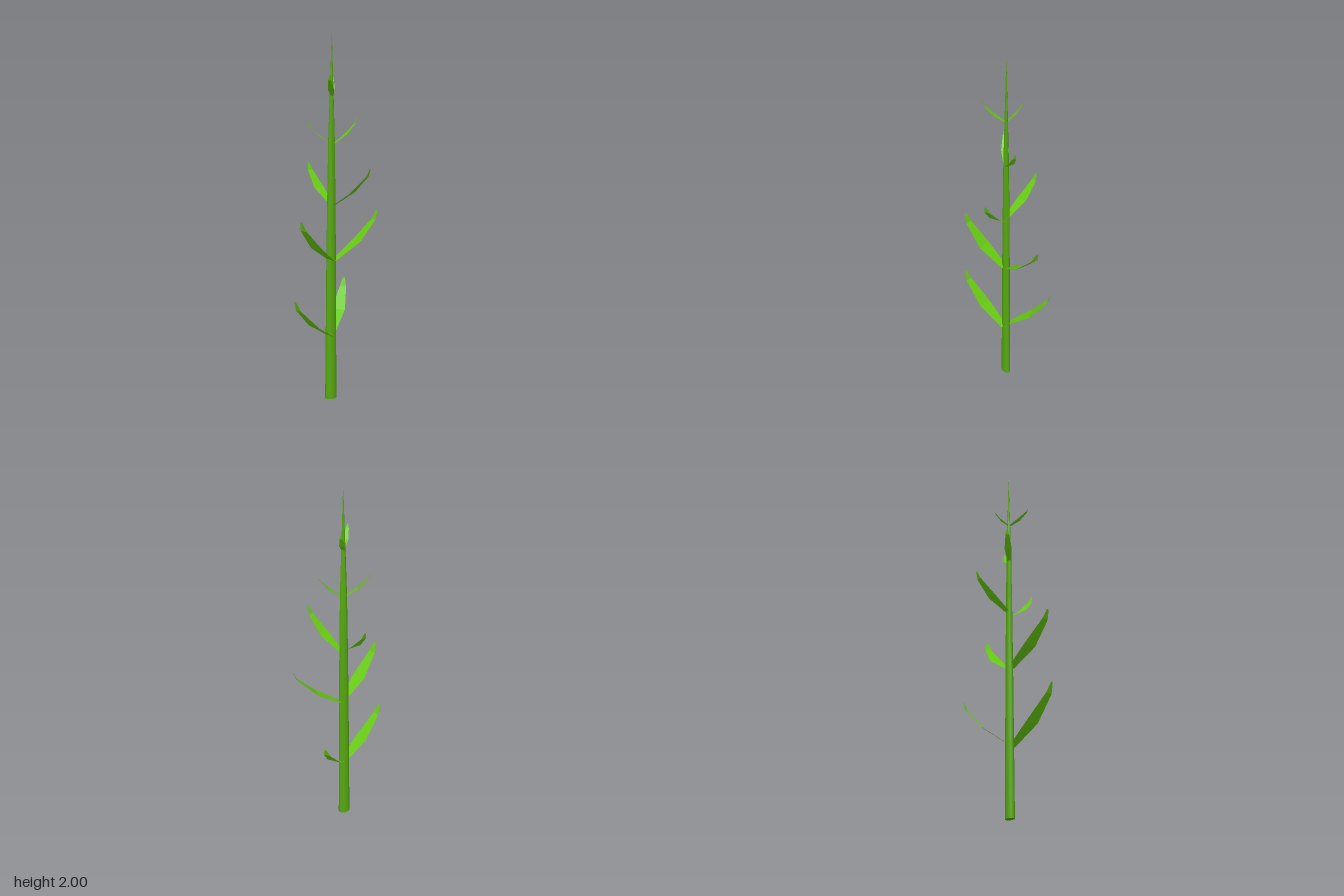
import * as THREE from 'three';
import { toCreasedNormals } from 'three/addons/utils/BufferGeometryUtils.js';

const stemMaterial = new THREE.MeshStandardMaterial({ color: 0x56a810 });
const leafMaterial = new THREE.MeshStandardMaterial({
  color: 0x66c810, flatShading: true, side: THREE.DoubleSide,
});

// Tapered oval stalk, leaning very slightly
function createStalk() {
  const profile = [[0, 0], [0.034, 0], [0.031, 0.4], [0.028, 0.8], [0.024, 1.12],
    [0.019, 1.45], [0.011, 1.7], [0.001, 2]].map(([r, y]) => new THREE.Vector2(r, y));
  const geometry = new THREE.LatheGeometry(profile, 10);
  geometry.scale(1, 1, 0.67);
  const p = geometry.attributes.position;
  for (let i = 0; i < p.count; i++) {
    const t = p.getY(i) / 2;
    p.setX(i, p.getX(i) - 0.014 + 0.008 * t);
    p.setZ(i, p.getZ(i) + 0.006 - 0.002 * t);
  }
  const stalk = new THREE.Mesh(toCreasedNormals(geometry, 1), stemMaterial);
  stalk.name = 'stalk';
  return stalk;
}

// Cross-sections along a leaf: share of reach, share of rise, half width
const sections = [[0, 0, 0.5], [0.51, 0.36, 1], [0.92, 0.8, 0.5], [1, 1, 0.15]];

// Flat upward-curling blade between a base and a tip
function createLeaf(base, tip, halfWidth) {
  const [bx, by, bz] = base;
  const dx = tip[0] - bx, dy = tip[1] - by, dz = tip[2] - bz;
  const reach = Math.hypot(dx, dz);
  const sx = -dz / reach, sz = dx / reach;
  const vertices = [], index = [];
  sections.forEach(([along, rise, width], i) => {
    for (const side of [-1, 1]) {
      const w = side * width * halfWidth;
      vertices.push(bx + dx * along + sx * w, by + dy * rise, bz + dz * along + sz * w);
    }
    if (i > 0) {
      const a = 2 * i - 2;
      index.push(a, a + 1, a + 2, a + 1, a + 3, a + 2);
    }
  });
  const geometry = new THREE.BufferGeometry();
  geometry.setAttribute('position', new THREE.Float32BufferAttribute(vertices, 3));
  geometry.setIndex(index);
  geometry.computeVertexNormals();
  const leaf = new THREE.Mesh(geometry, leafMaterial);
  leaf.name = 'leaf';
  return leaf;
}

// Leaf pairs from the bottom up: base, tip, half width
const leaves = [
  [[0.005, 0.39, -0.01], [0.17, 0.635, -0.183], 0.039],
  [[-0.01, 0.365, 0.02], [-0.282, 0.635, 0.122], 0.039],
  [[0.01, 0.8, 0], [0.284, 1.055, -0.008], 0.04],
  [[-0.01, 0.8, 0.018], [-0.247, 1.058, 0.127], 0.04],
  [[0, 1.11, 0.02], [0.118, 1.318, 0.198], 0.032],
  [[-0.014, 1.125, -0.005], [-0.044, 1.318, -0.202], 0.031],
  [[0.002, 1.44, 0.012], [0.129, 1.57, 0.034], 0.02],
  [[-0.016, 1.44, 0.004], [-0.132, 1.575, -0.058], 0.02],
  [[-0.008, 1.69, 0.012], [-0.069, 1.79, 0.1], 0.016],
  [[-0.006, 1.69, 0.002], [0.035, 1.8, -0.071], 0.015],
];

export function createModel() {
  const plant = new THREE.Group();
  plant.name = 'plant';
  plant.add(createStalk());
  const foliage = new THREE.Group();
  foliage.name = 'leaves';
  for (const leaf of leaves) foliage.add(createLeaf(...leaf));
  plant.add(foliage);
  return plant;
}
